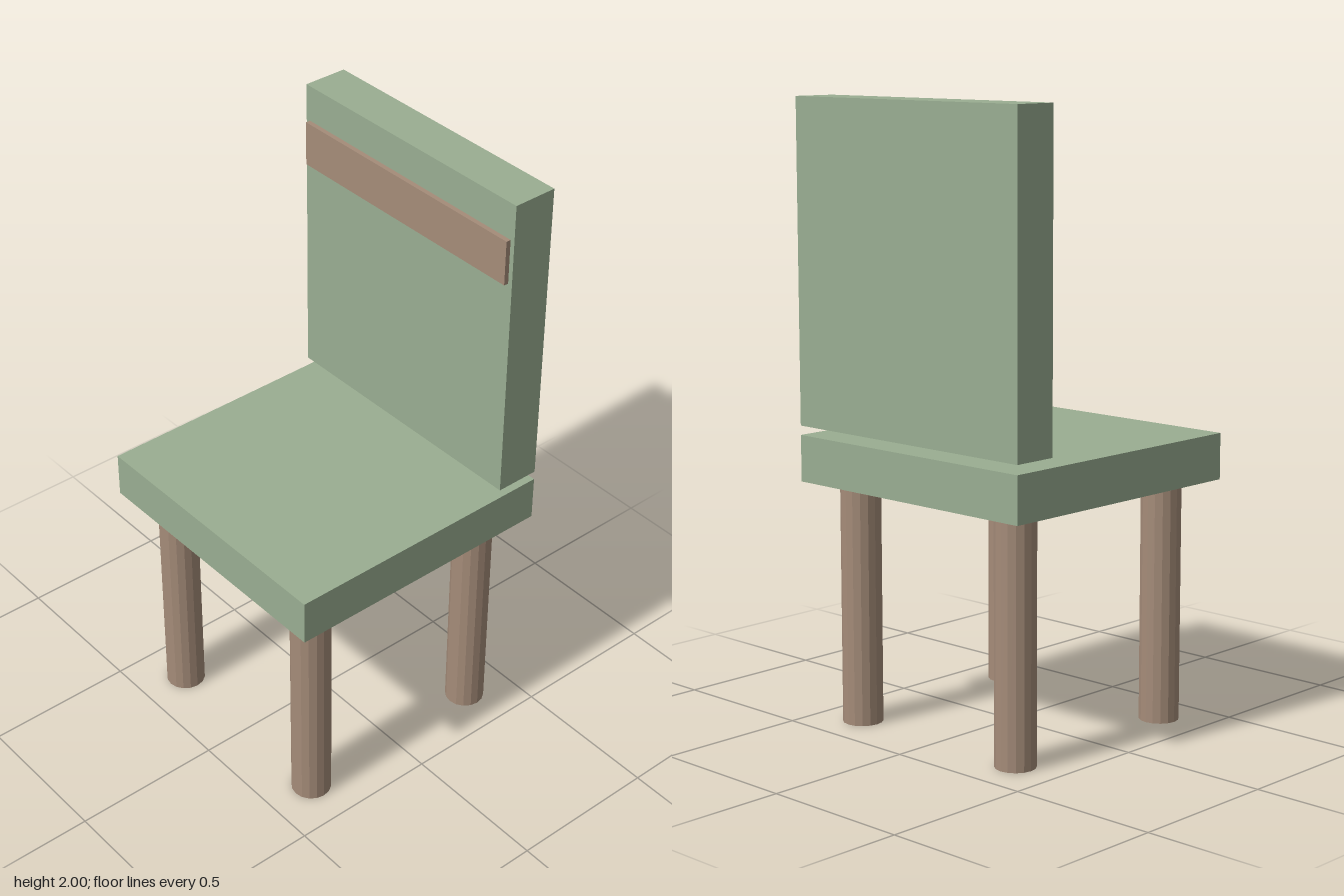
import * as THREE from 'three';

export function createModel() {
  const chair = new THREE.Group();
  chair.name = 'chair';

  const sageGreen = new THREE.MeshStandardMaterial({ color: 0x9aae92 });
  sageGreen.name = 'sageGreen';
  const woodBrown = new THREE.MeshStandardMaterial({ color: 0xa58c79 });
  woodBrown.name = 'woodBrown';
  woodBrown.flatShading = true;

  function add(name, geometry, material, x, y, z) {
    const mesh = new THREE.Mesh(geometry, material);
    mesh.name = name;
    mesh.position.set(x, y, z);
    chair.add(mesh);
  }

  // Seat slab and the backrest floating just above its rear edge
  add('seat', new THREE.BoxGeometry(0.94, 0.15, 0.94), sageGreen, 0, 0.863, 0);
  add('backrest', new THREE.BoxGeometry(0.94, 1.032, 0.15), sageGreen, 0, 1.484, -0.395);

  // Wooden strip across the front of the backrest
  add('backrestStrip', new THREE.BoxGeometry(0.908, 0.15, 0.018), woodBrown, 0, 1.804, -0.313);

  // Four round legs
  const legGeometry = new THREE.CylinderGeometry(0.065, 0.065, 0.788, 16);
  for (const [side, x] of [['Left', 0.338], ['Right', -0.338]]) {
    for (const [end, z] of [['front', 0.338], ['back', -0.338]]) {
      add(`${end}${side}Leg`, legGeometry, woodBrown, x, 0.394, z);
    }
  }

  return chair;
}
